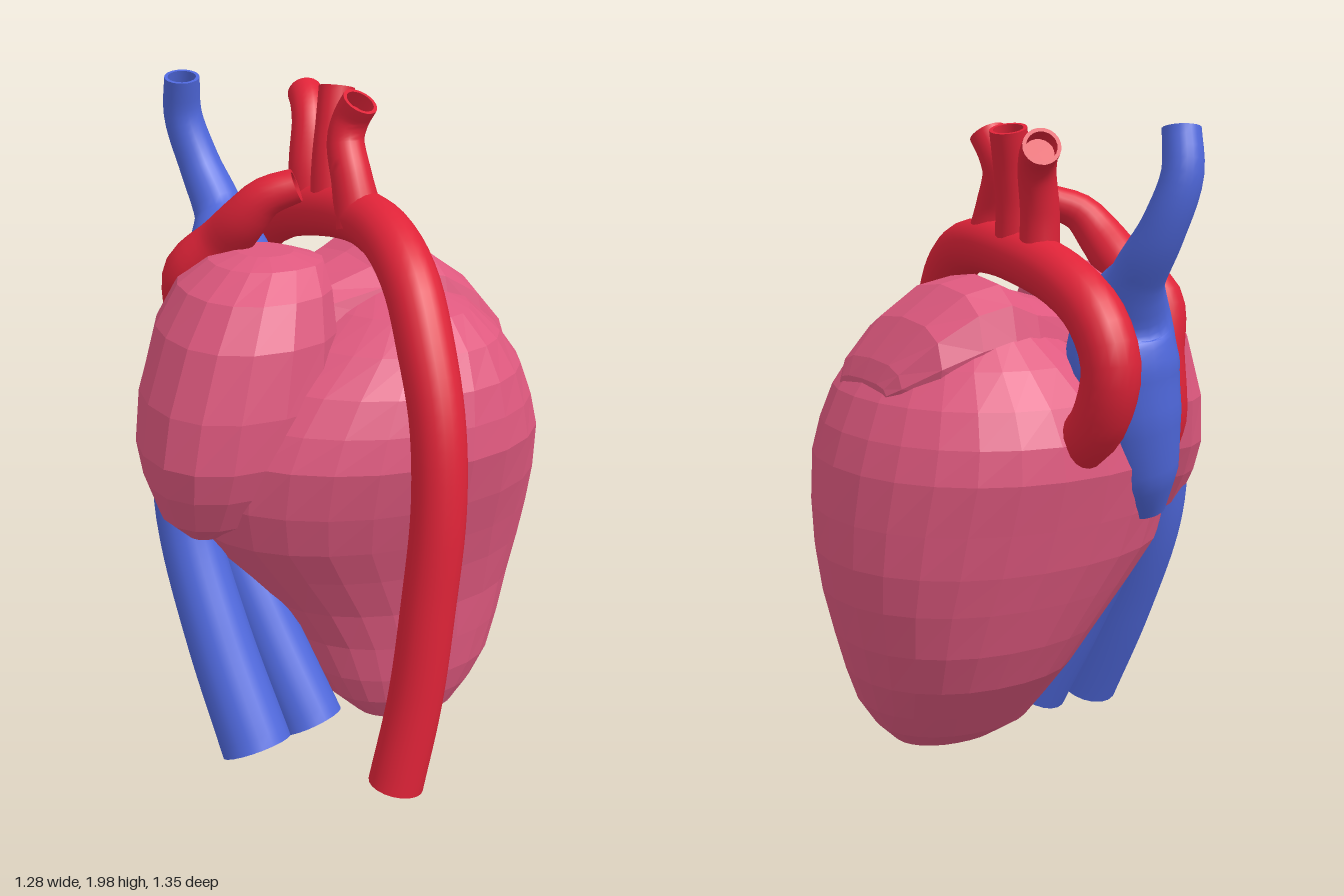
import * as THREE from 'three';
import { toCreasedNormals } from 'three/addons/utils/BufferGeometryUtils.js';

const muscle = new THREE.MeshStandardMaterial({ color: 0xdf597f });
muscle.name = 'muscle pink';
const artery = new THREE.MeshStandardMaterial({ color: 0xdf2338 });
artery.name = 'artery red';
const vein = new THREE.MeshStandardMaterial({ color: 0x4f68dc });
vein.name = 'vein blue';

// Joins rings of points into a surface, skipping collapsed triangles at the poles
function skin(rings) {
  const out = [];
  const tri = (a, b, c) => {
    if (a.equals(b) || b.equals(c) || c.equals(a)) return;
    for (const p of [a, b, c]) out.push(p.x, p.y, p.z);
  };
  for (let i = 0; i < rings.length - 1; i++) {
    const lo = rings[i], hi = rings[i + 1], n = lo.length;
    for (let j = 0; j < n; j++) {
      const k = (j + 1) % n;
      tri(lo[j], hi[j], lo[k]);
      tri(lo[k], hi[j], hi[k]);
    }
  }
  const geometry = new THREE.BufferGeometry();
  geometry.setAttribute('position', new THREE.Float32BufferAttribute(out, 3));
  return geometry;
}

// Faceted muscle: each row is [position, uMin, uMax, vMin, vMax] across the axis
function lump(name, rows, sides, power, place) {
  const closed = (r) => {
    const u = (r[1] + r[2]) / 2, v = (r[3] + r[4]) / 2;
    return [r[0], u, u, v, v];
  };
  const all = [closed(rows[0]), ...rows, closed(rows[rows.length - 1])];
  const bulge = (s) => Math.sign(s) * Math.abs(s) ** (2 / power);
  const rings = all.map(([a, u0, u1, v0, v1]) =>
    Array.from({ length: sides }, (_, j) => {
      const t = (j / sides) * Math.PI * 2;
      const u = (u0 + u1) / 2 + ((u1 - u0) / 2) * bulge(Math.cos(t));
      const v = (v0 + v1) / 2 + ((v1 - v0) / 2) * bulge(Math.sin(t));
      return place(a, u, v);
    }));
  const geometry = skin(rings);
  geometry.computeVertexNormals();
  const mesh = new THREE.Mesh(geometry, muscle);
  mesh.name = name;
  return mesh;
}

// Smooth vessel along knots [x, y, z, radius], with a hollow mouth at the last knot
function vessel(name, material, knots, steps = 24, sides = 20) {
  const curve = new THREE.CatmullRomCurve3(knots.map((k) => new THREE.Vector3(k[0], k[1], k[2])));
  const frames = curve.computeFrenetFrames(steps, false);
  const radiusAt = (u) => {
    const t = curve.getUtoTmapping(u) * (knots.length - 1);
    const i = Math.min(Math.floor(t), knots.length - 2);
    return THREE.MathUtils.lerp(knots[i][3], knots[i + 1][3], t - i);
  };
  const ring = (i, scale) => {
    const centre = curve.getPointAt(i / steps), r = radiusAt(i / steps) * scale;
    return Array.from({ length: sides }, (_, j) => {
      const t = (j / sides) * Math.PI * 2;
      return centre.clone()
        .addScaledVector(frames.normals[i], r * Math.cos(t))
        .addScaledVector(frames.binormals[i], -r * Math.sin(t));
    });
  };
  const rings = [ring(0, 0)];
  for (let i = 0; i <= steps; i++) rings.push(ring(i, 1));
  // Lip, inner wall and the floor inside the mouth
  rings.push(ring(steps, 0.8), ring(steps - 3, 0.8), ring(steps - 3, 0));
  const mesh = new THREE.Mesh(toCreasedNormals(skin(rings), 0.8), material);
  mesh.name = name;
  return mesh;
}

export function createModel() {
  const model = new THREE.Group();
  model.name = 'heart';
  // The ventricles are deeper on the left side
  const deepening = (y, x, z) => new THREE.Vector3(x, y, z * (1 + 0.18 * (x - 0.1)));
  // The atrium is wider towards the front
  const widening = (y, x, z) => new THREE.Vector3(-0.32 + (x + 0.32) * (1 + 0.5 * z), y, z);
  const sideways = (x, z, y) => new THREE.Vector3(x, y, z);

  // Large lower chambers, tapering to the apex
  model.add(lump('ventricles', [
    [0.015, 0.11, 0.26, 0.14, 0.25],
    [0.045, 0.0, 0.34, 0.06, 0.3],
    [0.12, -0.08, 0.42, -0.06, 0.335],
    [0.21, -0.13, 0.485, -0.14, 0.36],
    [0.33, -0.18, 0.54, -0.25, 0.375],
    [0.46, -0.26, 0.585, -0.32, 0.39],
    [0.6, -0.37, 0.622, -0.375, 0.425],
    [0.72, -0.46, 0.638, -0.42, 0.465],
    [0.85, -0.49, 0.635, -0.455, 0.51],
    [1.0, -0.485, 0.617, -0.495, 0.55],
    [1.1, -0.43, 0.587, -0.485, 0.54],
    [1.2, -0.34, 0.54, -0.44, 0.515],
    [1.3, -0.2, 0.46, -0.35, 0.46],
    [1.38, -0.07, 0.37, -0.26, 0.37],
    [1.43, 0.04, 0.26, -0.12, 0.21],
  ], 26, 2.16, deepening));

  // Rounded upper chamber
  model.add(lump('rightAtrium', [
    [0.72, -0.51, -0.38, -0.06, 0.08],
    [0.79, -0.585, -0.22, -0.17, 0.19],
    [0.9, -0.625, -0.12, -0.25, 0.26],
    [1.0, -0.64, -0.07, -0.3, 0.3],
    [1.15, -0.615, -0.06, -0.33, 0.31],
    [1.34, -0.55, -0.06, -0.31, 0.29],
    [1.46, -0.475, -0.06, -0.26, 0.24],
    [1.53, -0.38, -0.06, -0.18, 0.16],
    [1.555, -0.3, -0.14, -0.1, 0.08],
  ], 16, 2.2, widening));

  // Boxy flap draped over the other shoulder
  model.add(lump('leftAuricle', [
    [-0.1, -0.18, 0.18, 1.25, 1.45],
    [0.08, -0.26, 0.2, 1.2, 1.5],
    [0.17, -0.27, 0.22, 1.2, 1.545],
    [0.28, -0.27, 0.235, 1.18, 1.52],
    [0.4, -0.245, 0.24, 1.18, 1.43],
    [0.485, -0.16, 0.235, 1.18, 1.31],
    [0.51, -0.11, 0.2, 1.19, 1.25],
  ], 12, 2.6, sideways));

  // Great arch, from the back over the top and down the front
  model.add(vessel('aorta', artery, [
    [0.06, 1.08, -0.42, 0.08], [0.06, 1.17, -0.53, 0.082], [0.06, 1.33, -0.588, 0.084],
    [0.07, 1.46, -0.53, 0.084], [0.08, 1.55, -0.38, 0.083], [0.09, 1.605, -0.15, 0.083],
    [0.09, 1.62, 0.05, 0.083], [0.07, 1.59, 0.22, 0.083], [0.04, 1.5, 0.37, 0.083],
    [0.02, 1.35, 0.47, 0.083], [0.005, 1.15, 0.555, 0.08], [-0.01, 0.9, 0.592, 0.08],
    [-0.04, 0.6, 0.593, 0.08], [-0.075, 0.3, 0.585, 0.081], [-0.13, 0.025, 0.572, 0.083],
  ], 64));

  // Three branches on top of the arch
  [
    [[0.08, 1.6, 0.05, 0.075], [0.075, 1.73, 0.01, 0.062], [0.085, 1.84, -0.04, 0.056], [0.1, 1.9, -0.035, 0.055], [0.11, 1.955, 0, 0.055]],
    [[0.09, 1.58, -0.13, 0.065], [0.1, 1.75, -0.145, 0.058], [0.12, 1.86, -0.16, 0.055], [0.145, 1.97, -0.18, 0.055]],
    [[0.08, 1.58, -0.245, 0.06], [0.085, 1.74, -0.255, 0.057], [0.11, 1.85, -0.28, 0.055], [0.13, 1.9, -0.32, 0.055], [0.15, 1.925, -0.37, 0.055]],
  ].forEach((knots, i) => model.add(vessel(`archBranch${i + 1}`, artery, knots)));

  // Red vessel climbing behind the atrium
  model.add(vessel('pulmonaryVessel', artery, [
    [-0.34, 0.95, -0.22, 0.06], [-0.34, 1.1, -0.27, 0.08], [-0.33, 1.3, -0.265, 0.08],
    [-0.34, 1.45, -0.23, 0.088], [-0.28, 1.55, -0.15, 0.08], [-0.255, 1.64, -0.06, 0.07],
    [-0.215, 1.71, -0.005, 0.058], [-0.14, 1.745, 0.045, 0.05],
  ], 32));

  // Blue vessel flaring into the back
  model.add(vessel('upperVein', vein, [
    [-0.24, 0.84, -0.34, 0.06], [-0.205, 0.96, -0.35, 0.12], [-0.165, 1.14, -0.355, 0.155],
    [-0.14, 1.3, -0.35, 0.17], [-0.14, 1.43, -0.36, 0.145], [-0.115, 1.56, -0.46, 0.08],
    [-0.13, 1.7, -0.555, 0.066], [-0.16, 1.85, -0.6, 0.06], [-0.175, 1.975, -0.572, 0.055],
  ], 40));

  // Two blue vessels hanging below the atrium
  model.add(vessel('lowerVeinOuter', vein, [
    [-0.47, 0.95, -0.1, 0.09], [-0.475, 0.72, -0.05, 0.092], [-0.455, 0.4, 0.09, 0.1], [-0.42, 0.085, 0.25, 0.108],
  ]));
  model.add(vessel('lowerVeinInner', vein, [
    [-0.36, 0.95, -0.12, 0.08], [-0.335, 0.7, -0.06, 0.085], [-0.28, 0.4, 0.08, 0.09], [-0.215, 0.1, 0.235, 0.1],
  ]));

  return model;
}
